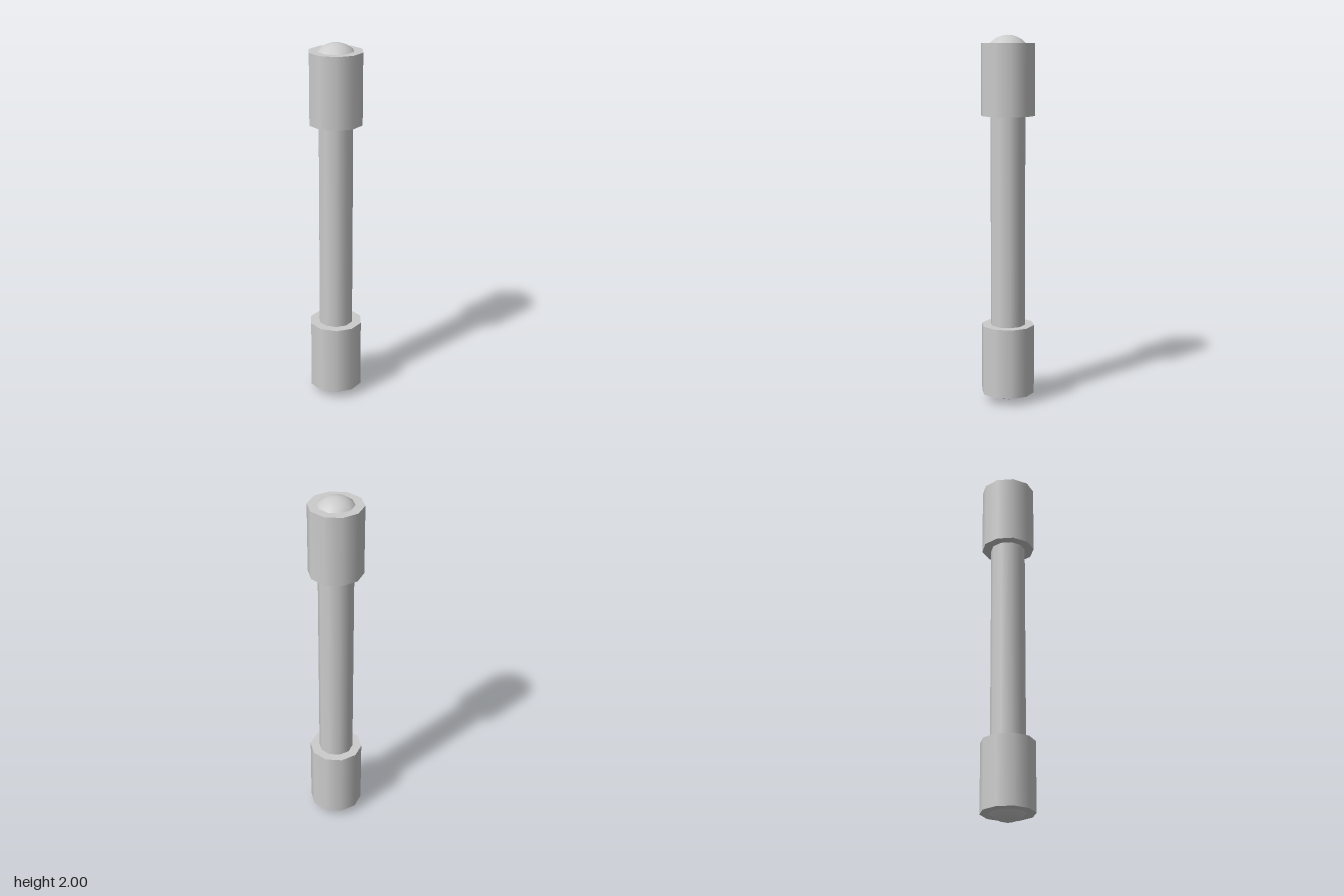
import * as THREE from 'three';

const SIDES = 10;
const SHAFT_RADIUS = 0.095, GRIP_RADIUS = 0.146;
const GRIP_BOTTOM = 0.573, GRIP_TOP = 0.957; // distances from the middle
const DOME_BASE = 0.097;

export function createModel() {
  const model = new THREE.Group();
  model.name = 'handleBar';
  const grey = new THREE.MeshStandardMaterial({ color: 0xcccccc });
  grey.name = 'grey';

  const add = (geometry, name, parent) => {
    const mesh = new THREE.Mesh(geometry, grey);
    mesh.name = name;
    parent.add(mesh);
    return mesh;
  };
  // ten-sided cylinder with corners on the x axis
  const prism = (radius, height) =>
    new THREE.CylinderGeometry(radius, radius, height, SIDES, 1, false, Math.PI / 2);

  // slim shaft between the two grips
  add(prism(SHAFT_RADIUS, 2 * GRIP_BOTTOM + 0.02), 'shaft', model).position.y = 1;

  // spherical cap that reaches a distance of 1 from the middle
  const rise = 1 - GRIP_TOP;
  const domeRadius = (DOME_BASE ** 2 + rise ** 2) / (2 * rise);
  const domeAngle = Math.asin(DOME_BASE / domeRadius);

  // thick grip with a domed end, mirrored top and bottom
  for (const end of ['upper', 'lower']) {
    const part = new THREE.Group();
    part.name = end + 'End';
    part.position.y = 1;
    if (end === 'lower') part.rotation.x = Math.PI;
    add(prism(GRIP_RADIUS, GRIP_TOP - GRIP_BOTTOM), end + 'Grip', part)
      .position.y = (GRIP_TOP + GRIP_BOTTOM) / 2;
    add(new THREE.SphereGeometry(domeRadius, SIDES, 4, 0, Math.PI * 2, 0, domeAngle), end + 'Dome', part)
      .position.y = 1 - domeRadius;
    model.add(part);
  }
  return model;
}
